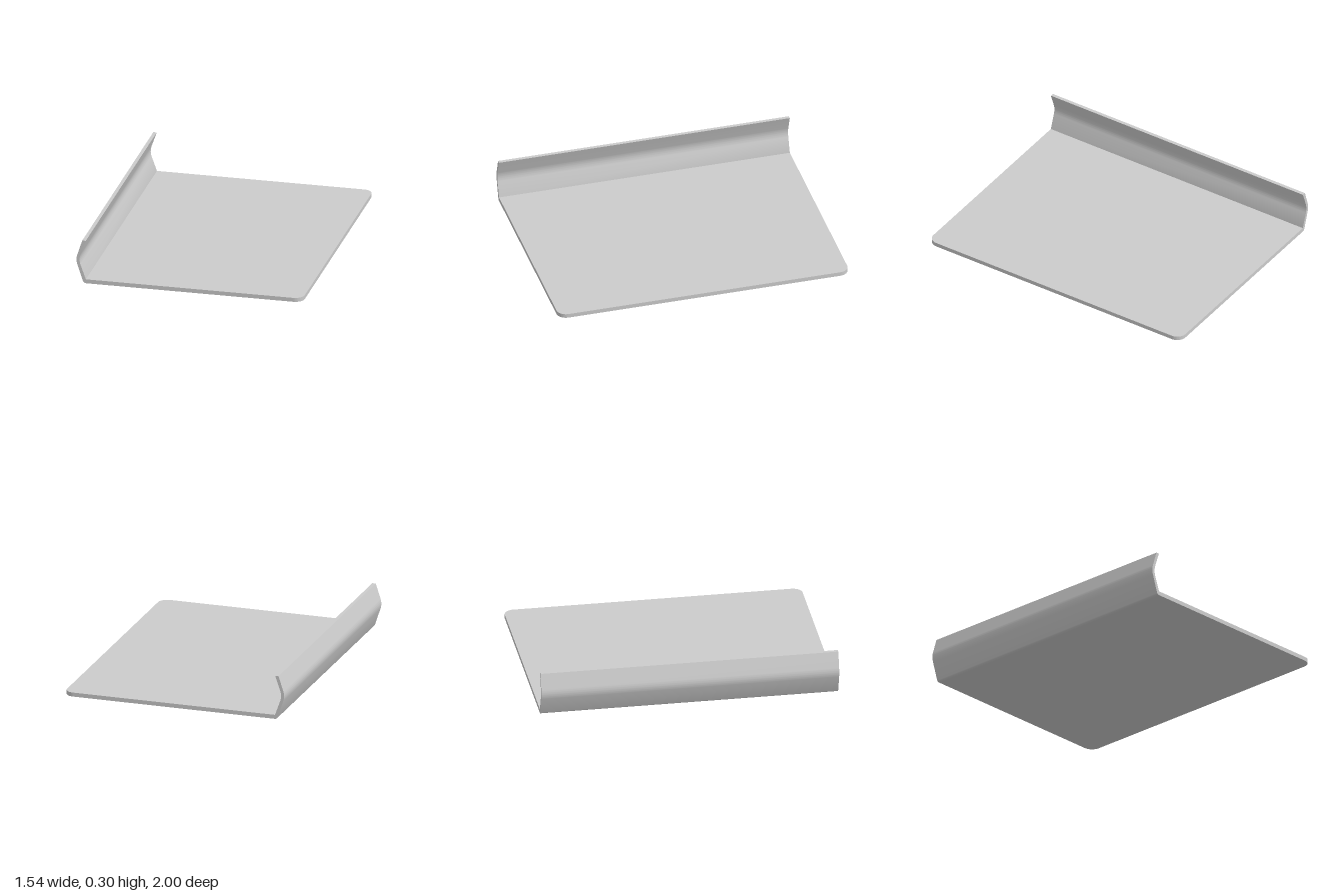
import * as THREE from 'three';
import { toCreasedNormals } from 'three/addons/utils/BufferGeometryUtils.js';

const material = new THREE.MeshStandardMaterial({ color: 0xcccccc });

// Extrude a shape and smooth only its rounded bends
function extruded(name, shape, depth) {
  const geometry = new THREE.ExtrudeGeometry(shape, { depth, bevelEnabled: false, curveSegments: 12 });
  const mesh = new THREE.Mesh(toCreasedNormals(geometry, Math.PI / 7), material);
  mesh.name = name;
  return mesh;
}

export function createModel() {
  const group = new THREE.Group();
  group.name = 'bentTray';
  const thickness = 0.028, fold = -0.706, right = 0.77, radius = 0.065;

  // Flat plate with two rounded corners on the free edge
  const outline = new THREE.Shape();
  outline.moveTo(fold, -1);
  outline.lineTo(right - radius, -1);
  outline.absarc(right - radius, -1 + radius, radius, -Math.PI / 2, 0);
  outline.absarc(right - radius, 1 - radius, radius, 0, Math.PI / 2);
  outline.lineTo(fold, 1);
  outline.closePath();
  const plate = extruded('basePlate', outline, thickness);
  plate.rotation.x = -Math.PI / 2;
  group.add(plate);

  // Upturned lip: leans outward, then bends back inward
  const profile = new THREE.Shape();
  profile.moveTo(fold, 0);
  profile.lineTo(fold, thickness);
  profile.lineTo(-0.743, 0.13);
  profile.quadraticCurveTo(-0.754, 0.165, -0.743, 0.2);
  profile.lineTo(-0.707, 0.302);
  profile.lineTo(-0.731, 0.302);
  profile.lineTo(-0.764, 0.2);
  profile.quadraticCurveTo(-0.776, 0.165, -0.764, 0.13);
  profile.lineTo(-0.727, 0.018);
  profile.quadraticCurveTo(-0.721, 0, fold, 0);
  const lip = extruded('bentLip', profile, 2);
  lip.position.z = -1;
  group.add(lip);

  return group;
}
